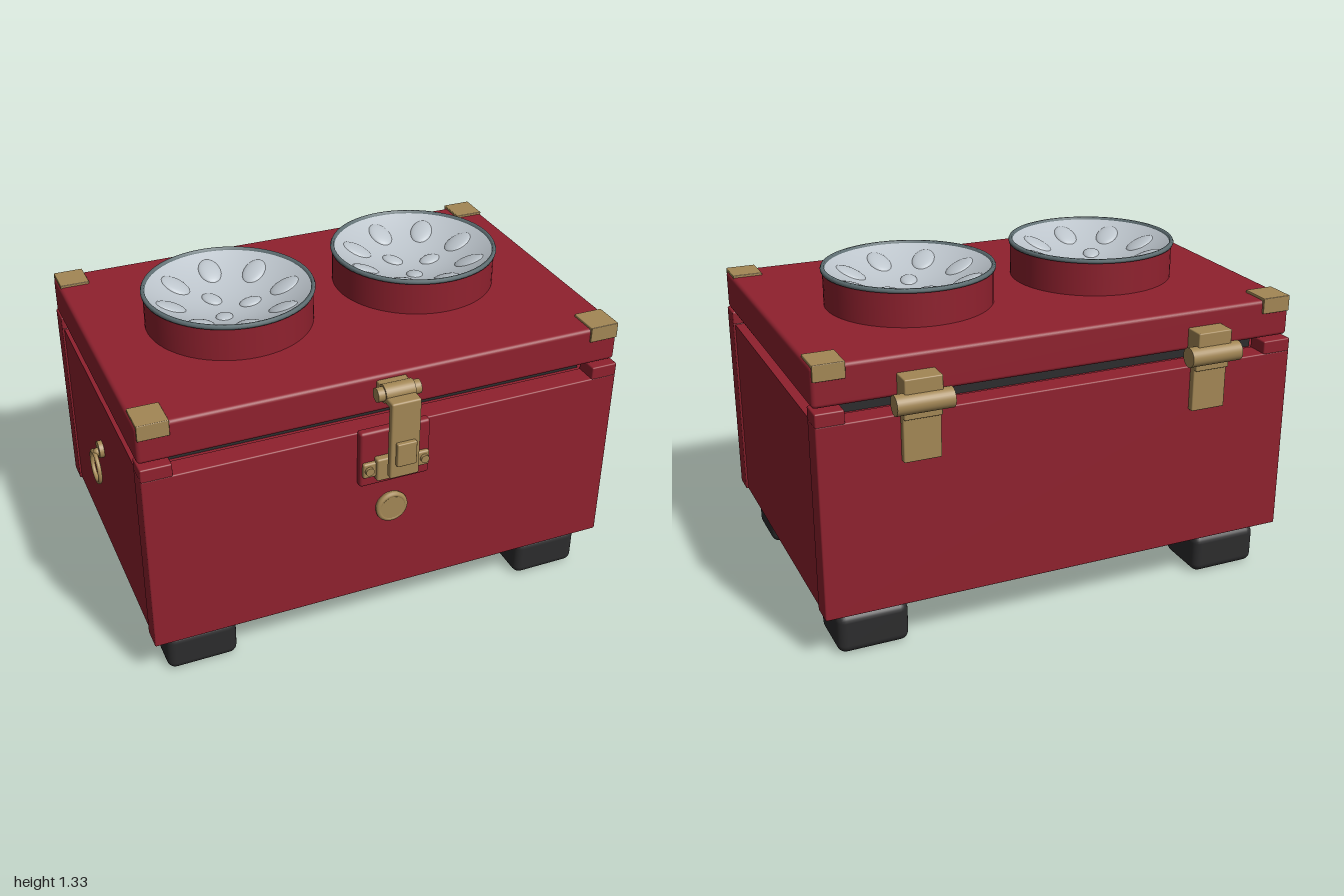
import * as THREE from 'three';
import { RoundedBoxGeometry } from 'three/addons/geometries/RoundedBoxGeometry.js';

const mat = (name, color, side = THREE.FrontSide) => {
  const m = new THREE.MeshStandardMaterial({ color, side });
  m.name = name;
  return m;
};

export function createModel() {
  const red = mat('red lacquer', 0x8f212e);
  const black = mat('black rubber', 0x2c2c2d);
  const brass = mat('brass', 0xa38755);
  const silver = mat('pale silver', 0xbcc4cb, THREE.DoubleSide);
  const steel = mat('dark steel', 0x5f6f73);

  const root = new THREE.Group();
  root.name = 'chest';

  const add = (name, geometry, material, x = 0, y = 0, z = 0, parent = root) => {
    const m = new THREE.Mesh(geometry, material);
    m.name = name;
    m.position.set(x, y, z);
    parent.add(m);
    return m;
  };
  // Box from its limits, with optional rounded edges
  const box = (name, material, [x0, x1], [y0, y1], [z0, z1], r = 0, parent = root) => {
    const s = [x1 - x0, y1 - y0, z1 - z0];
    const g = r ? new RoundedBoxGeometry(...s, 3, r) : new THREE.BoxGeometry(...s);
    return add(name, g, material, (x0 + x1) / 2, (y0 + y1) / 2, (z0 + z1) / 2, parent);
  };
  // Cylinder lying along x or z
  const rod = (name, material, axis, r, length, x, y, z, parent = root) => {
    const g = new THREE.CylinderGeometry(r, r, length, 32);
    if (axis === 'x') g.rotateZ(Math.PI / 2);
    else g.rotateX(Math.PI / 2);
    return add(name, g, material, x, y, z, parent);
  };

  // Body: full-width front and back panels with slightly inset sides
  box('bodyCore', red, [-0.957, 0.987], [0.2, 0.965], [-0.6, 0.55]);
  box('frontPanel', red, [-0.965, 0.995], [0.195, 0.97], [0.535, 0.63], 0.006);
  box('backPanel', red, [-0.965, 0.995], [0.195, 0.97], [-0.675, -0.58], 0.006);
  box('basePlate', black, [-0.89, 0.915], [0.163, 0.21], [-0.58, 0.535], 0.006);
  box('gasket', black, [-0.85, 0.885], [0.95, 1.03], [-0.565, 0.52]);

  // Feet and corner blocks
  for (const [x0, x1] of [[-0.905, -0.615], [0.65, 0.935]]) {
    for (const z of [[0.34, 0.58], [-0.625, -0.385]]) box('foot', black, [x0, x1], [0, 0.168], z, 0.035);
  }
  for (const x of [[-0.965, -0.845], [0.885, 0.995]]) {
    for (const z of [[0.535, 0.63], [-0.675, -0.58]]) box('cornerBlock', red, x, [0.965, 1.02], z, 0.006);
  }

  // Lid with brass corner brackets
  box('lid', red, [-0.965, 0.995], [1.027, 1.184], [-0.65, 0.605], 0.016);
  for (const x of [[-0.96, -0.84], [0.87, 0.99]]) {
    for (const s of [1, -1]) {
      const edge = s > 0 ? 0.613 : -0.659;
      const inner = edge - s * 0.13, face = edge - s * 0.012;
      const span = (a, b) => [Math.min(a, b), Math.max(a, b)];
      box('cornerBracketTop', brass, x, [1.18, 1.194], span(inner, edge), 0.003);
      box('cornerBracketFace', brass, x, [1.13, 1.194], span(face, edge), 0.003);
    }
  }

  // Round collars holding shallow bowls with raised ovals
  const depth = 0.095, bowlR = 0.325, bowlY = 1.23;
  const bowlAt = (r) => bowlY + depth * (r / bowlR) ** 2;
  const profile = [];
  for (let i = 0; i <= 16; i++) {
    const r = Math.max(0.0001, (bowlR * i) / 16);
    profile.push(new THREE.Vector2(r, bowlAt(r)));
  }
  const bowlUnit = (cx, cz, turn) => {
    const g = new THREE.Group();
    g.name = 'bowlUnit';
    g.position.set(cx, 0, cz);
    root.add(g);
    const wall = new THREE.CylinderGeometry(0.334, 0.334, 0.15, 64, 1, true);
    add('collar', wall, red, 0, 1.247, 0, g);
    const rim = [[0.323, 1.318], [0.34, 1.318], [0.342, 1.326], [0.338, 1.334], [0.327, 1.334], [0.323, 1.32]];
    add('rim', new THREE.LatheGeometry(rim.map((p) => new THREE.Vector2(...p)), 64), steel, 0, 0, 0, g);
    add('bowl', new THREE.LatheGeometry(profile, 64), silver, 0, 0, 0, g);
    const ring = (count, r, len, wid) => {
      for (let i = 0; i < count; i++) {
        const pivot = new THREE.Group();
        pivot.name = 'ovalPivot';
        pivot.rotation.y = turn + (i * Math.PI * 2) / count;
        g.add(pivot);
        const m = add('raisedOval', new THREE.SphereGeometry(1, 20, 12), silver, r, bowlAt(r), 0, pivot);
        m.scale.set(len, 0.014, wid);
        m.rotation.z = Math.atan((2 * depth * r) / bowlR ** 2);
      }
    };
    ring(8, 0.235, 0.065, 0.046);
    ring(3, 0.09, 0.046, 0.034);
  };
  bowlUnit(-0.4, -0.025, 0);
  bowlUnit(0.425, -0.08, 0.18);

  // Back hinges
  for (const cx of [-0.58, 0.61]) {
    rod('hingeBarrel', brass, 'x', 0.039, 0.22, cx, 1.025, -0.72);
    box('hingeTopBlock', brass, [cx - 0.073, cx + 0.073], [1.03, 1.118], [-0.73, -0.645], 0.005);
    box('hingeLeaf', brass, [cx - 0.073, cx + 0.073], [0.79, 1.0], [-0.705, -0.675], 0.005);
    box('hingeLeafTop', brass, [cx - 0.073, cx + 0.073], [0.96, 1.02], [-0.72, -0.68], 0.005);
  }

  // Front latch
  const c = 0.015;
  const mid = (w) => [c - w / 2, c + w / 2];
  box('latchPlate', red, mid(0.29), [0.737, 0.98], [0.62, 0.66], 0.012);
  box('latchBracket', brass, mid(0.275), [0.785, 0.85], [0.655, 0.676], 0.008);
  box('latchCatch', brass, mid(0.175), [0.77, 0.868], [0.655, 0.69], 0.008);
  for (const x of [-0.1, 0.13]) rod('latchScrew', brass, 'z', 0.017, 0.02, x, 0.82, 0.678);
  rod('latchBarrel', brass, 'x', 0.028, 0.175, c, 1.14, 0.66);
  rod('latchKnuckle', brass, 'x', 0.036, 0.12, c, 1.14, 0.66);
  box('latchMount', brass, mid(0.12), [1.115, 1.165], [0.6, 0.66], 0.005);
  box('latchArm', brass, mid(0.12), [1.11, 1.14], [0.66, 0.745], 0.008);
  box('latchStrap', brass, mid(0.12), [0.81, 1.135], [0.714, 0.745], 0.008);
  box('latchGrip', brass, mid(0.08), [0.87, 0.97], [0.74, 0.763], 0.005);

  // Round front button
  rod('button', brass, 'z', 0.05, 0.03, c, 0.6, 0.638);
  add('buttonRing', new THREE.TorusGeometry(0.055, 0.012, 12, 40), brass, c, 0.6, 0.642);
  rod('buttonBase', brass, 'z', 0.064, 0.02, c, 0.6, 0.635);

  // Pull ring on the side
  rod('ringMount', brass, 'x', 0.035, 0.02, -0.966, 0.7, -0.03);
  add('ringStud', new THREE.SphereGeometry(0.018, 16, 12), brass, -0.979, 0.69, -0.03);
  const pull = add('pullRing', new THREE.TorusGeometry(0.065, 0.009, 12, 40), brass, -0.991, 0.622, -0.03);
  pull.rotation.y = Math.PI / 2;

  return root;
}
